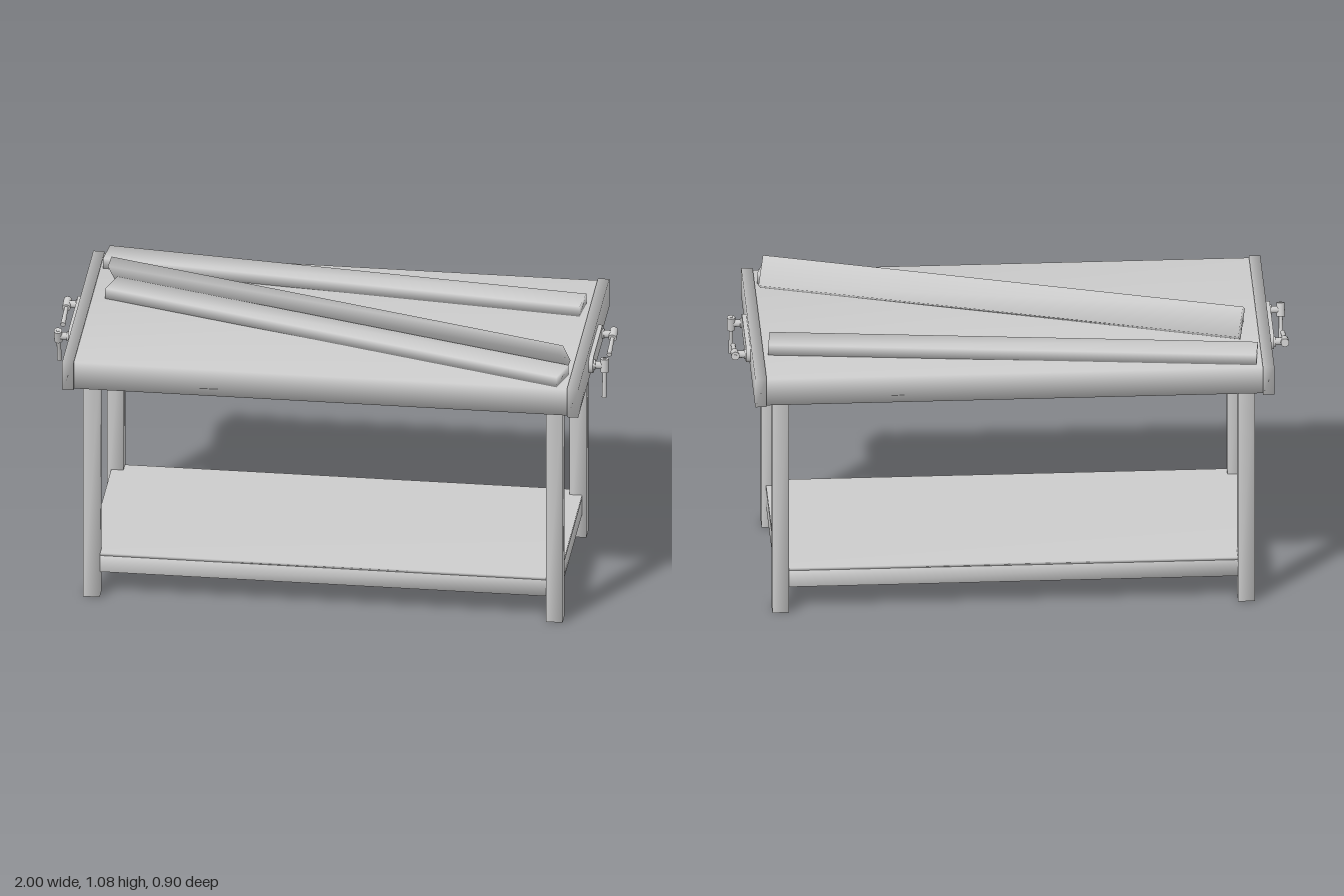
import * as THREE from 'three';
import { mergeVertices } from 'three/addons/utils/BufferGeometryUtils.js';

const material = new THREE.MeshStandardMaterial({ color: 0xcccccc });

function add(parent, name, geometry, x = 0, y = 0, z = 0) {
  const mesh = new THREE.Mesh(geometry, material);
  mesh.name = name;
  mesh.position.set(x, y, z);
  parent.add(mesh);
  return mesh;
}

// Box with shared corners, so its shading runs smoothly round the edges
function softBox(w, h, d) {
  const box = new THREE.BoxGeometry(w, h, d);
  box.deleteAttribute('normal');
  box.deleteAttribute('uv');
  const merged = mergeVertices(box);
  merged.computeVertexNormals();
  return merged;
}

// Stadium-shaped vise plate lying across z, facing +x
function plateGeometry(halfLength, radius, depth) {
  const shape = new THREE.Shape();
  shape.absarc(halfLength - radius, 0, radius, -Math.PI / 2, Math.PI / 2);
  shape.absarc(radius - halfLength, 0, radius, Math.PI / 2, Math.PI * 1.5);
  shape.closePath();
  const geometry = new THREE.ExtrudeGeometry(shape, { depth, bevelEnabled: false, curveSegments: 12 });
  return geometry.rotateY(Math.PI / 2);
}

// Screw with a hub and a sliding bar; the bar points from the hub along (dy, dz)
function viseScrew(name, side, z, dy, dz) {
  const screw = new THREE.Group();
  screw.name = name;
  screw.position.set(side * 0.984, 0.911, z);
  const shaft = add(screw, 'screwShaft', new THREE.CylinderGeometry(0.013, 0.013, 0.045, 16), -side * 0.022);
  shaft.rotation.z = Math.PI / 2;
  const collar = add(screw, 'screwCollar', new THREE.CylinderGeometry(0.018, 0.018, 0.008, 16), -side * 0.036);
  collar.rotation.z = Math.PI / 2;

  const handle = new THREE.Group();
  handle.name = 'handle';
  const direction = new THREE.Vector3(0, dy, dz).normalize();
  handle.quaternion.setFromUnitVectors(new THREE.Vector3(0, 1, 0), direction);
  add(handle, 'hub', new THREE.CylinderGeometry(0.015, 0.015, 0.05, 16));
  add(handle, 'bar', new THREE.CylinderGeometry(0.009, 0.006, 0.15, 12), 0, 0.048);
  screw.add(handle);
  return screw;
}

export function createModel() {
  const bench = new THREE.Group();
  bench.name = 'workbench';

  // Worktop
  add(bench, 'worktop', softBox(1.78, 0.103, 0.89), 0, 0.9125, 0);

  // Legs
  for (const x of [-1, 1]) for (const z of [-1, 1]) {
    add(bench, 'leg', softBox(0.06, 0.862, 0.062), x * 0.834, 0.431, z * 0.346);
  }

  // Lower rails and shelf
  for (const s of [-1, 1]) {
    add(bench, 'longRail', softBox(1.612, 0.064, 0.03), 0, 0.126, s * 0.346);
    add(bench, 'endRail', softBox(0.03, 0.064, 0.634), s * 0.834, 0.126, 0);
  }
  add(bench, 'shelf', softBox(1.696, 0.011, 0.72), 0, 0.1625, 0);

  // End jaws with their vises
  for (const s of [-1, 1]) {
    add(bench, 'endJaw', softBox(0.041, 0.11, 0.905), s * 0.909, 0.913, 0);
    const plate = add(bench, 'visePlate', plateGeometry(0.155, 0.032, 0.016), s * 0.929, 0.912, 0);
    if (s < 0) plate.rotation.y = Math.PI;
  }
  bench.add(
    viseScrew('frontScrew', 1, 0.125, -1, 0.08),
    viseScrew('backScrew', 1, -0.127, -0.19, 1),
    viseScrew('frontScrew', -1, 0.128, -1, -0.36),
    viseScrew('backScrew', -1, -0.13, -0.2, 1),
  );

  // Loose planks: two lie flat, the third leans on the edge of the front one
  const backPlank = add(bench, 'backPlank', softBox(1.748, 0.04, 0.107), -0.003, 0.985, -0.286);
  backPlank.rotation.y = -0.102;
  const frontPlank = add(bench, 'frontPlank', softBox(1.766, 0.04, 0.107), 0.02, 0.985, 0.125);
  frontPlank.rotation.y = -0.295;
  const leaningPlank = add(bench, 'leaningPlank', softBox(1.766, 0.04, 0.112), 0.019, 1.0235, 0.053);
  leaningPlank.rotation.set(-0.93, -0.295, 0, 'YXZ');

  return bench;
}
